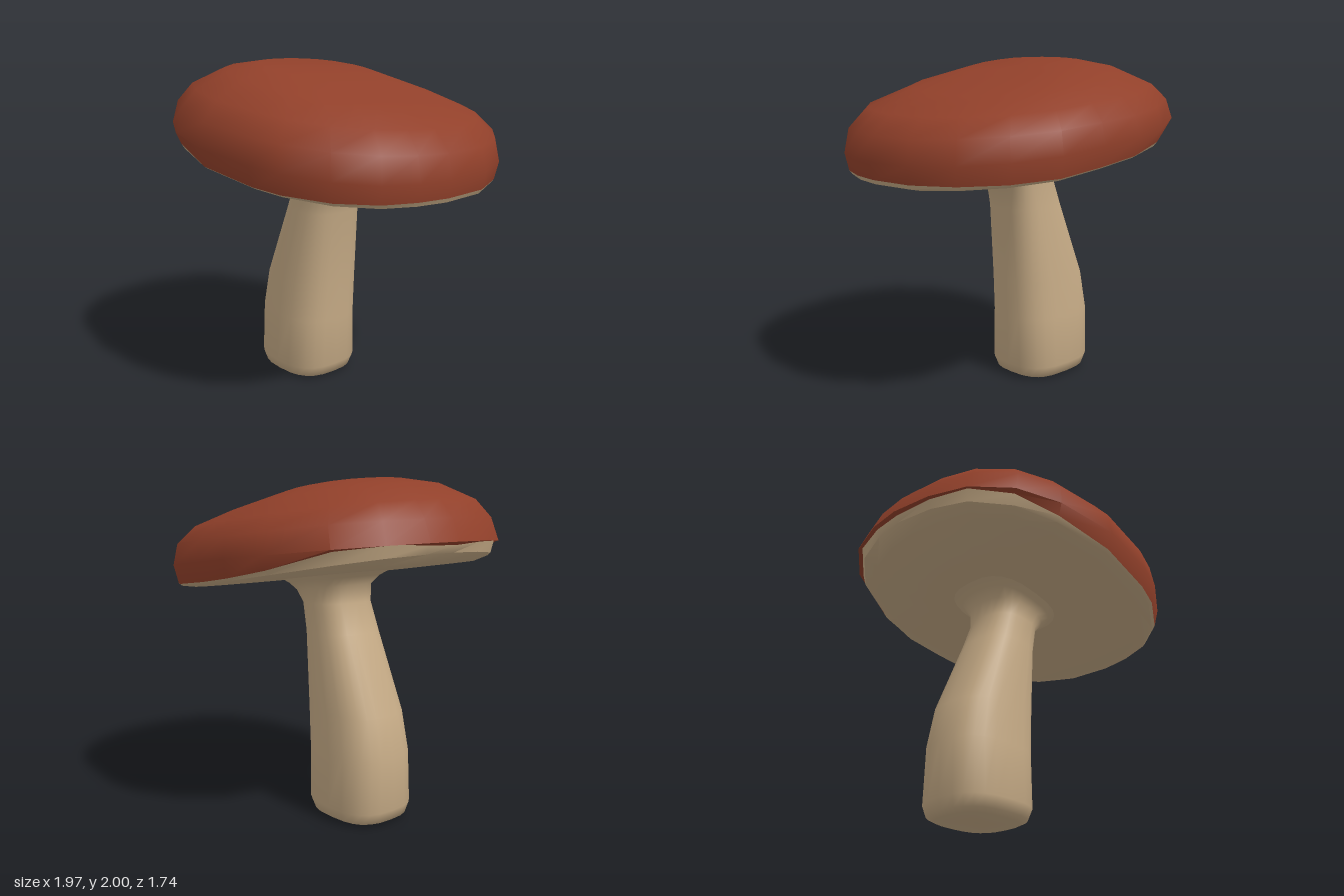
import * as THREE from 'three';
import { toCreasedNormals } from 'three/addons/utils/BufferGeometryUtils.js';

// Cap outline seen from above, anticlockwise, starting at the +x side
const OUTLINE = [
  [0.98, 0.05], [0.96, -0.25], [0.85, -0.5], [0.67, -0.7], [0.43, -0.83], [0.14, -0.855],
  [-0.13, -0.87], [-0.4, -0.82], [-0.73, -0.65], [-0.9, -0.44], [-0.97, -0.2], [-0.985, 0],
  [-0.95, 0.25], [-0.87, 0.48], [-0.7, 0.68], [-0.46, 0.8], [-0.1, 0.87], [0.3, 0.83],
  [0.48, 0.78], [0.72, 0.64], [0.88, 0.45], [0.95, 0.25],
].map(([x, z]) => [x / 0.985, z / 0.87]);

// Rounded-square outline for the stem
const SQUARE = Array.from({ length: 24 }, (_, i) => {
  const a = (i / 24) * Math.PI * 2;
  const bend = (v) => Math.sign(v) * Math.pow(Math.abs(v), 0.72);
  return [bend(Math.cos(a)), -bend(Math.sin(a))];
});

// Scales an outline to a ring whose height slopes and bends along x,
// tilts along z, and may be lifted at the two corners on the -x side
function ring(outline, { cx = 0, cz = 0, rx, rz, y, slope = 0, bend = 0, tilt = 0, lift = 0 }) {
  return outline.map(([u, v]) => {
    const x = cx + u * rx;
    const corner = u < 0 ? u ** 4 * (1 - u * u) : 0;
    return new THREE.Vector3(x, y + slope * x + bend * x * x + tilt * v + lift * corner, cz + v * rz);
  });
}

// Skins rings from bottom to top; each end may be closed with a fan
function loft(rings, closeBottom, closeTop, crease) {
  const n = rings[0].length;
  const points = rings.flat();
  const index = [];
  for (let i = 0; i < rings.length - 1; i++) {
    for (let j = 0; j < n; j++) {
      const a = i * n + j;
      const b = i * n + ((j + 1) % n);
      index.push(a, b, b + n, a, b + n, a + n);
    }
  }
  const fan = (row, up) => {
    const centre = new THREE.Vector3();
    rings[row].forEach((p) => centre.addScaledVector(p, 1 / n));
    const c = points.push(centre) - 1;
    for (let j = 0; j < n; j++) {
      const a = row * n + j;
      const b = row * n + ((j + 1) % n);
      if (up) index.push(a, b, c);
      else index.push(b, a, c);
    }
  };
  if (closeBottom) fan(0, false);
  if (closeTop) fan(rings.length - 1, true);
  const geometry = new THREE.BufferGeometry().setFromPoints(points);
  geometry.setIndex(index);
  return toCreasedNormals(geometry, crease);
}

export function createModel() {
  const red = new THREE.MeshStandardMaterial({ color: 0x91402a });
  red.name = 'cap red';
  const beige = new THREE.MeshStandardMaterial({ color: 0xc6ab86 });
  beige.name = 'stem beige';

  const model = new THREE.Group();
  model.name = 'mushroom';
  const add = (name, geometry, material) => {
    const mesh = new THREE.Mesh(geometry, material);
    mesh.name = name;
    model.add(mesh);
  };

  // Cap: tilted dome, high on the -x side
  const rim = { rx: 0.965, rz: 0.84, y: 1.447, slope: -0.152, bend: 0.055, lift: 0.3 };
  const capRings = [
    rim,
    { rx: 0.985, rz: 0.87, y: 1.555, slope: -0.11 },
    { cx: 0.01, rx: 0.945, rz: 0.845, y: 1.685, slope: -0.107, tilt: 0.01 },
    { rx: 0.85, rz: 0.755, y: 1.785, slope: -0.11, tilt: 0.02 },
    { cx: -0.03, rx: 0.6, rz: 0.58, y: 1.875, slope: -0.145, tilt: 0.025 },
    { cx: -0.1, rx: 0.3, rz: 0.38, y: 1.932, slope: -0.165, tilt: 0.015 },
  ].map((r) => ring(OUTLINE, r));
  add('cap', loft(capRings, false, true, 0.7), red);

  // Underside: shallow, slightly bulging plate below the rim
  const underRings = [
    { rx: 0.5, rz: 0.45, y: 1.425, slope: -0.135 },
    { rx: 0.87, rz: 0.74, y: 1.43, slope: -0.14 },
    { rx: 0.95, rz: 0.82, y: 1.435, slope: -0.147, bend: 0.035 },
    rim,
  ].map((r) => ring(OUTLINE, r));
  add('capUnderside', loft(underRings, true, false, 0.7), beige);

  // Stem: leaning rounded-square column flaring into the underside
  // Rows: y, left x, right x, half depth, centre z, slope
  const stemRings = [
    [0, -0.49, -0.04, 0.2, -0.005, 0],
    [0.02, -0.535, 0.0, 0.235, -0.005, 0],
    [0.085, -0.555, 0.025, 0.257, -0.005, 0],
    [0.4, -0.553, 0.033, 0.243, -0.008, 0],
    [0.64, -0.505, 0.05, 0.23, -0.01, 0],
    [1.1, -0.31, 0.082, 0.2, -0.012, 0],
    [1.27, -0.245, 0.12, 0.187, -0.013, -0.04],
    [1.355, -0.25, 0.18, 0.195, -0.013, -0.13],
    [1.4, -0.305, 0.23, 0.23, -0.013, -0.135],
    [1.44, -0.4, 0.29, 0.285, -0.013, -0.135],
  ].map(([y, x0, x1, rz, cz, slope]) =>
    ring(SQUARE, { cx: (x0 + x1) / 2, rx: (x1 - x0) / 2, rz, cz, y, slope }));
  add('stem', loft(stemRings, true, false, 0.9), beige);

  return model;
}
